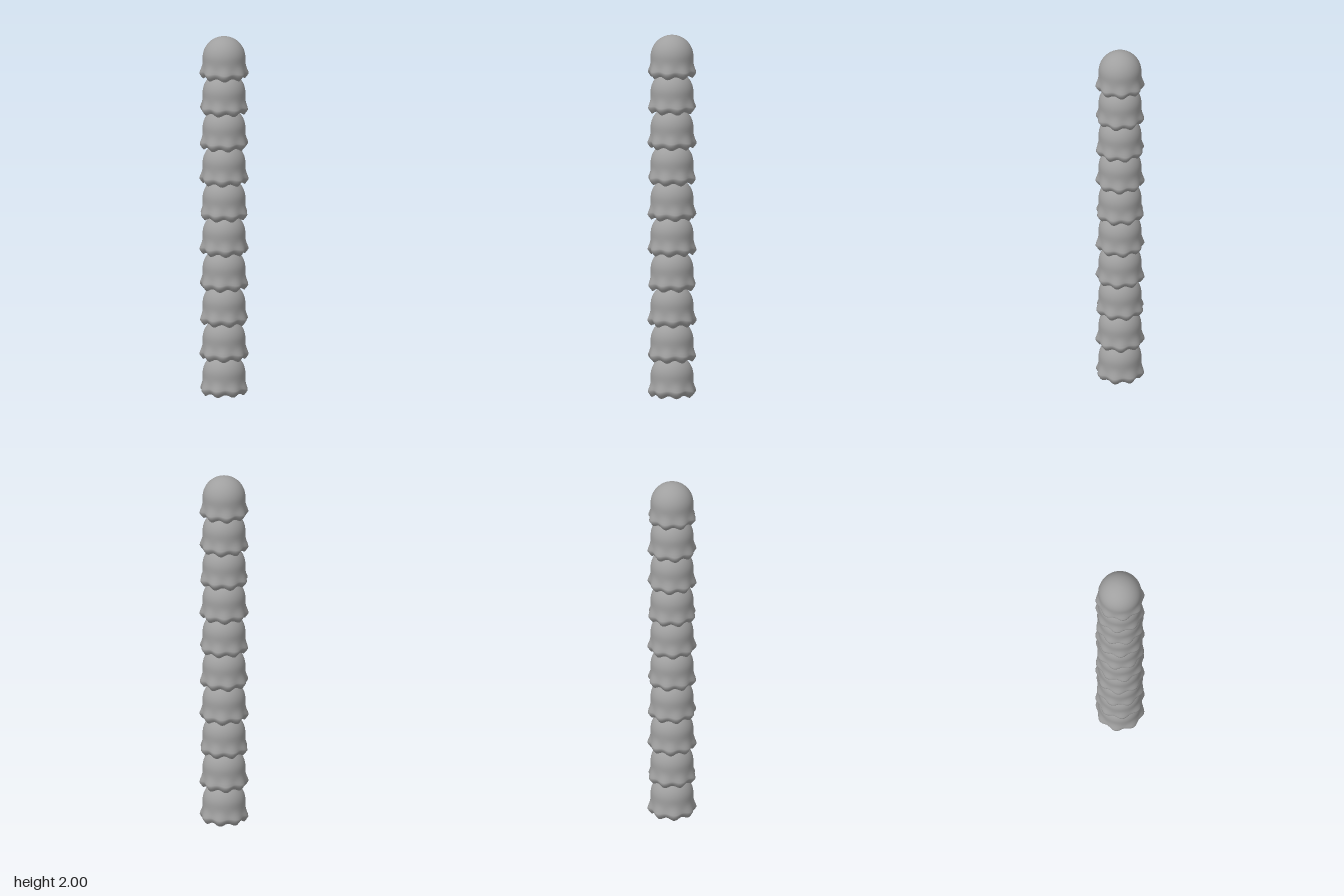
import * as THREE from 'three';
import { mergeVertices } from 'three/addons/utils/BufferGeometryUtils.js';

const COUNT = 10, STEP = 0.196, LOBES = 8, R = 0.117;

// Revolve a profile, then ripple its lower part into rounded lobes
function rippledLathe(points) {
  let geo = new THREE.LatheGeometry(points.map(([r, y]) => new THREE.Vector2(r, y)), 96);
  geo.deleteAttribute('uv');
  geo.deleteAttribute('normal');
  geo = mergeVertices(geo, 1e-5);
  const p = geo.attributes.position;
  for (let i = 0; i < p.count; i++) {
    const x = p.getX(i), y = p.getY(i), z = p.getZ(i);
    const r = Math.hypot(x, z);
    const wave = Math.cos(Math.atan2(x, z) * LOBES);
    const flare = Math.max(0, 1 - Math.abs(y - 0.035) / 0.05) * Math.min(1, r / 0.1);
    const hem = Math.max(0, 1 - y / 0.07) * Math.min(1, r / 0.1);
    const s = 1 + 0.045 * wave * flare;
    p.setXYZ(i, x * s, y - 0.009 * wave * hem, z * s);
  }
  geo.computeVertexNormals();
  return geo;
}

export function createModel() {
  const group = new THREE.Group();
  group.name = 'segmentedColumn';
  const grey = new THREE.MeshStandardMaterial({ color: 0xa0a0a0 });
  grey.name = 'grey';

  // Scalloped skirt, short waist and hemispherical dome
  const profile = [[0.112, 0.01], [0.121, 0.021], [0.129, 0.034], [0.128, 0.044],
    [0.123, 0.058], [0.119, 0.074], [R, 0.09], [R, 0.105]];
  for (let i = 0; i <= 16; i++) {
    const a = (i / 16) * Math.PI / 2;
    profile.push([i === 16 ? 0 : R * Math.cos(a), 0.119 + R * Math.sin(a)]);
  }
  const bodyGeo = rippledLathe(profile);
  // Slightly hollow underside meeting the hem
  const baseGeo = rippledLathe([[0, 0.026], [0.05, 0.025], [0.09, 0.019], [0.112, 0.01]]);

  // Stack of identical segments, each turned a little from the last
  for (let i = 0; i < COUNT; i++) {
    const segment = new THREE.Group();
    segment.name = `segment${i + 1}`;
    const body = new THREE.Mesh(bodyGeo, grey);
    body.name = 'scallopedDome';
    const base = new THREE.Mesh(baseGeo, grey);
    base.name = 'underside';
    segment.add(body, base);
    segment.position.y = i * STEP;
    segment.rotation.y = i * 0.3;
    group.add(segment);
  }
  return group;
}
